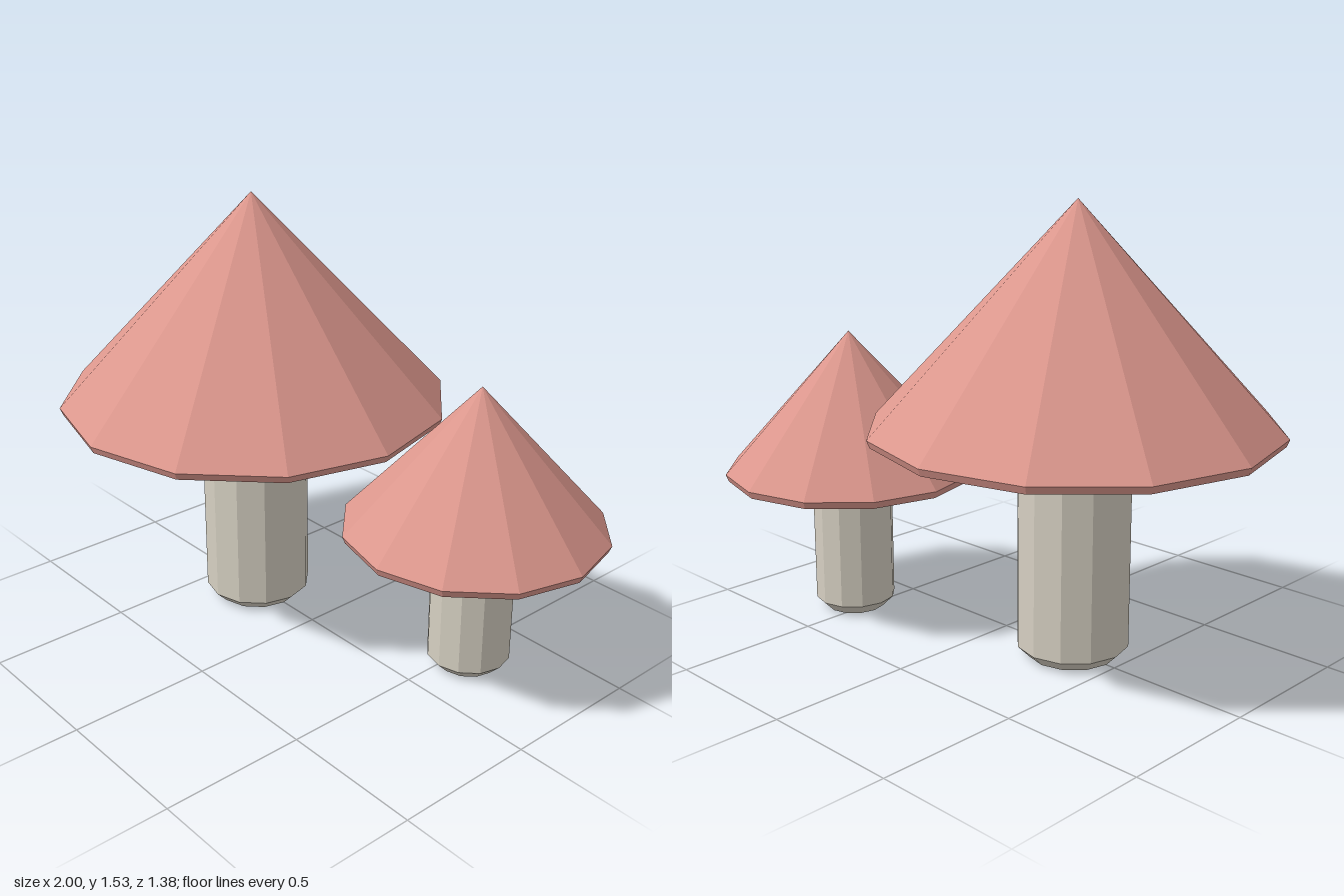
import * as THREE from 'three';

const SIDES = 12;
const capMaterial = new THREE.MeshStandardMaterial({ color: 0xdc978d, flatShading: true });
const stemMaterial = new THREE.MeshStandardMaterial({ color: 0xd6d0c2, flatShading: true });

// Faceted solid of revolution from [radius, height] pairs, bottom to top
function lathe(name, profile, material) {
  const points = profile.map(([r, y]) => new THREE.Vector2(r, y));
  const mesh = new THREE.Mesh(new THREE.LatheGeometry(points, SIDES), material);
  mesh.name = name;
  return mesh;
}

function mushroom(name, { x, z, stemRadius, capRadius, capBottom, top }) {
  const group = new THREE.Group();
  group.name = name;
  group.position.set(x, 0, z);

  // Stem with a chamfered foot
  group.add(lathe('stem', [
    [0, 0], [stemRadius - 0.04, 0], [stemRadius, 0.04],
    [stemRadius, capBottom + 0.005], [0, capBottom + 0.005],
  ], stemMaterial));

  // Conical cap with a thin undercut rim and flat underside
  group.add(lathe('cap', [
    [0, capBottom], [capRadius - 0.01, capBottom], [capRadius, capBottom + 0.025], [0, top],
  ], capMaterial));
  return group;
}

export function createModel() {
  const model = new THREE.Group();
  model.name = 'mushrooms';
  model.add(
    mushroom('largeMushroom', {
      x: -0.313, z: 0, stemRadius: 0.192, capRadius: 0.687, capBottom: 0.77, top: 1.53,
    }),
    mushroom('smallMushroom', {
      x: 0.549, z: -0.238, stemRadius: 0.144, capRadius: 0.45, capBottom: 0.507, top: 1.027,
    }),
  );
  return model;
}
